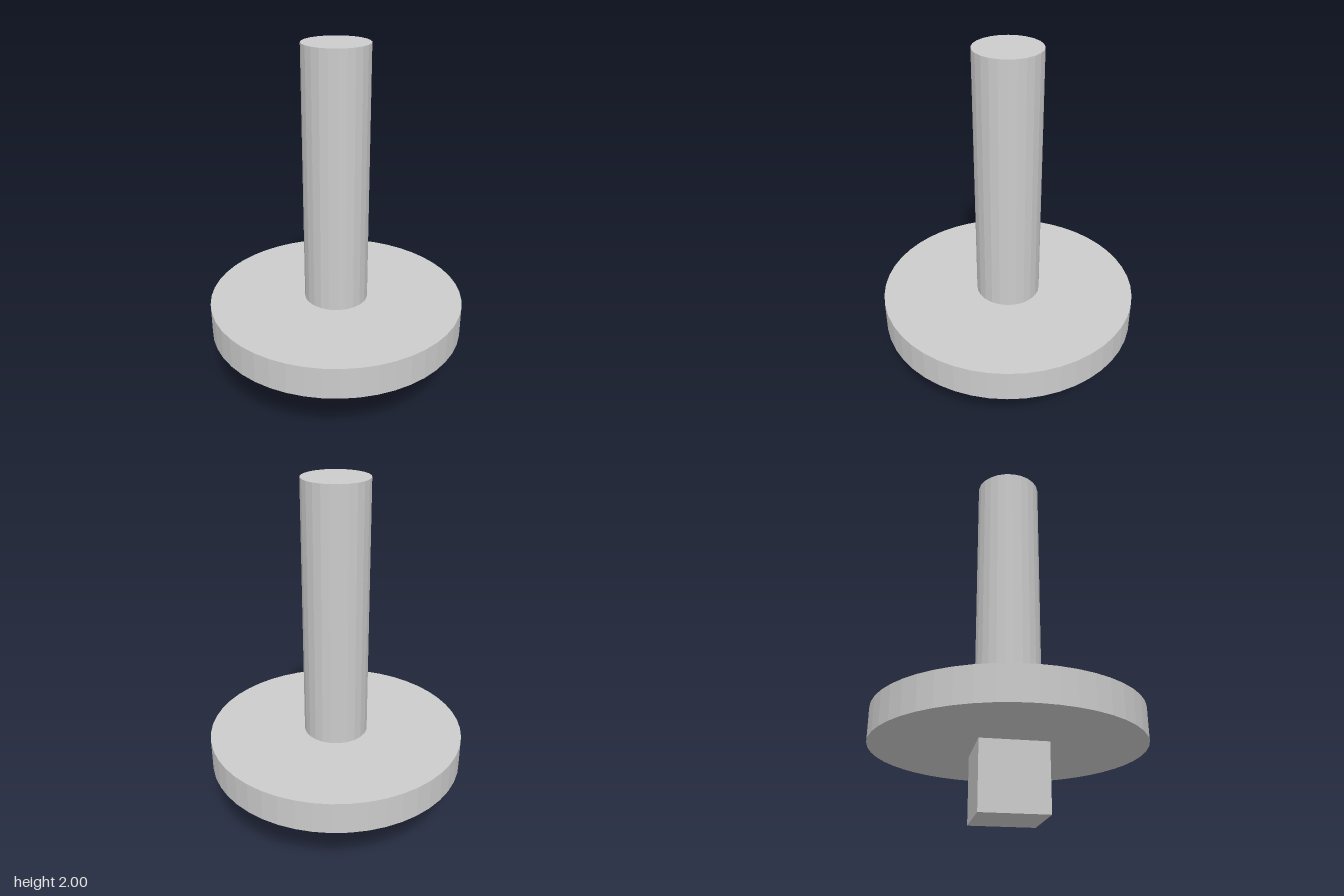
import * as THREE from 'three';

const U = 2 / 11; // base module: every dimension is a multiple of this

export function createModel() {
  const group = new THREE.Group();
  const material = new THREE.MeshStandardMaterial({ color: 0xcccccc, flatShading: true });

  // Places a part so that its underside sits at height y
  const add = (name, geometry, y, height) => {
    const mesh = new THREE.Mesh(geometry, material);
    mesh.name = name;
    mesh.position.y = y + height / 2;
    group.add(mesh);
  };

  // Square drive peg under the flange
  add('squarePeg', new THREE.BoxGeometry(2 * U, 2 * U, 2 * U), 0, 2 * U);
  // Wide round flange
  add('flange', new THREE.CylinderGeometry(4 * U, 4 * U, U, 48), 2 * U, U);
  // Round shaft rising from the flange
  add('shaft', new THREE.CylinderGeometry(U, U, 8 * U, 24), 3 * U, 8 * U);

  return group;
}
